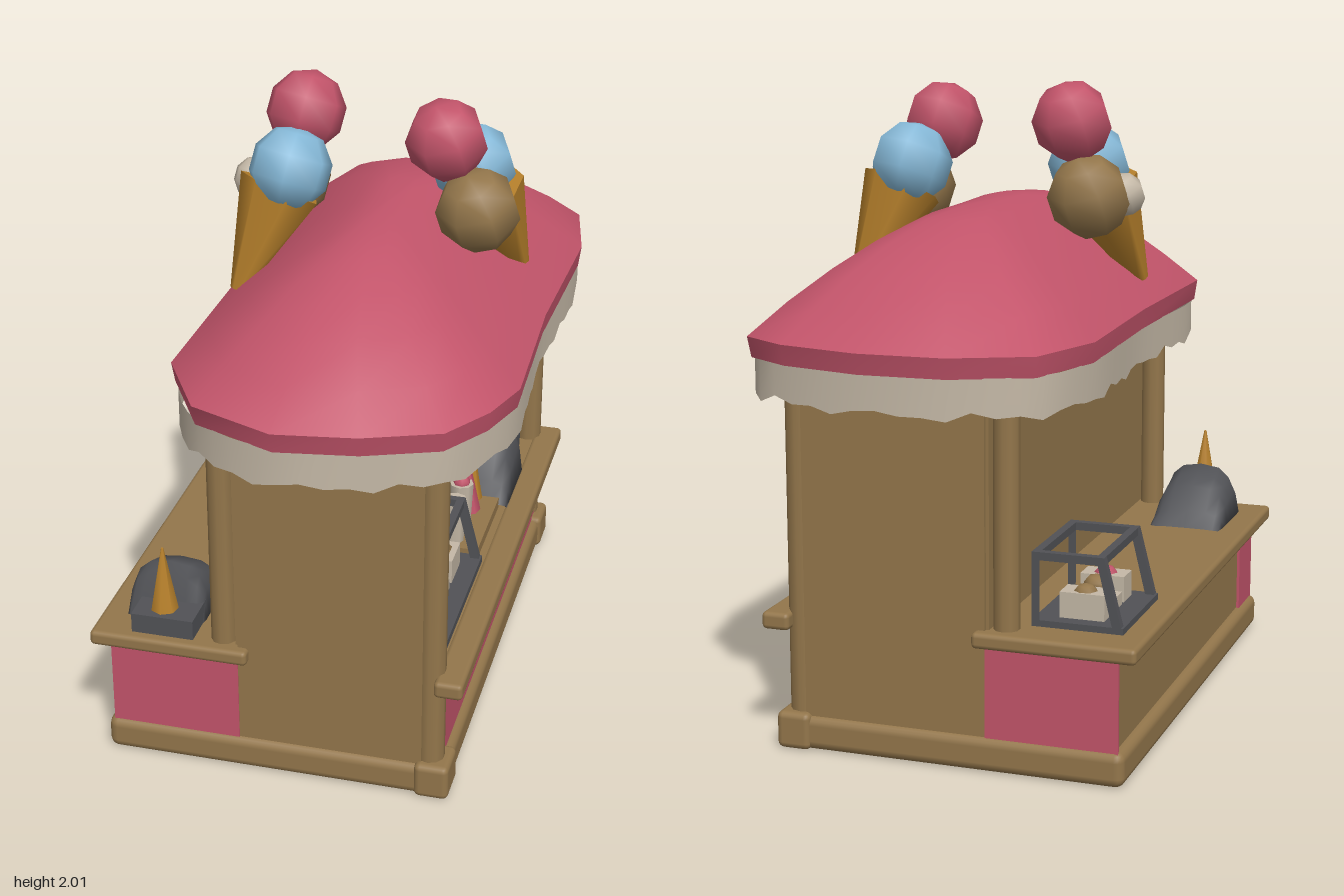
import * as THREE from 'three';
import { RoundedBoxGeometry } from 'three/addons/geometries/RoundedBoxGeometry.js';

const mat = (name, color, side = THREE.FrontSide) => {
  const m = new THREE.MeshStandardMaterial({ color, side });
  m.name = name;
  return m;
};

export function createModel() {
  const pink = mat('strawberry pink', 0xc2546a);
  const wood = mat('brown wood', 0x93764b);
  const cream = mat('cream', 0xc4b8a6, THREE.DoubleSide);
  const orange = mat('wafer orange', 0xb9822c);
  const blue = mat('ice blue', 0x86b9d8);
  const gray = mat('dark gray', 0x515256);

  const root = new THREE.Group();
  root.name = 'iceCreamKiosk';

  const add = (name, geo, material, x = 0, y = 0, z = 0, parent = root) => {
    const m = new THREE.Mesh(geo, material);
    m.name = name;
    m.position.set(x, y, z);
    parent.add(m);
    return m;
  };
  // box given by its limits
  const box = (name, material, x0, x1, y0, y1, z0, z1, parent = root) =>
    add(name, new THREE.BoxGeometry(x1 - x0, y1 - y0, z1 - z0), material,
      (x0 + x1) / 2, (y0 + y1) / 2, (z0 + z1) / 2, parent);
  // wooden beam with rounded edges
  const beam = (name, r, x0, x1, y0, y1, z0, z1) =>
    add(name, new RoundedBoxGeometry(x1 - x0, y1 - y0, z1 - z0, 2, r), wood,
      (x0 + x1) / 2, (y0 + y1) / 2, (z0 + z1) / 2);
  const group = (name, x = 0, y = 0, z = 0) => {
    const g = new THREE.Group();
    g.name = name;
    g.position.set(x, y, z);
    root.add(g);
    return g;
  };
  // skin over rings that all have the same number of points
  const skin = (rings) => {
    const n = rings[0].length, idx = [];
    for (let j = 0; j < rings.length - 1; j++)
      for (let i = 0; i < n; i++) {
        const k = (i + 1) % n, a = j * n + i, b = j * n + k;
        idx.push(a, b, b + n, a, b + n, a + n);
      }
    const g = new THREE.BufferGeometry();
    g.setAttribute('position', new THREE.Float32BufferAttribute(rings.flat(2), 3));
    g.setIndex(idx);
    g.computeVertexNormals();
    return g;
  };

  // base, counters and walls
  beam('base', 0.03, -0.6, 0.5, 0, 0.11, -0.85, 0.85);
  box('mainCounterPanel', pink, -0.15, 0.475, 0.1, 0.385, -0.8, 0.8);
  box('mainCounterTop', wood, -0.15, 0.48, 0.38, 0.43, -0.82, 0.82);
  beam('mainCounterLedge', 0.015, 0.46, 0.55, 0.38, 0.435, -0.865, 0.865);
  box('sideCounterBody', wood, -0.57, -0.15, 0.1, 0.39, -0.825, 0.825);
  beam('sideCounterTop', 0.015, -0.64, -0.13, 0.39, 0.44, -0.865, 0.865);
  box('longWall', wood, -0.175, -0.15, 0.43, 1.22, -0.82, 0.82);
  box('longWallLining', cream, -0.15, -0.143, 0.43, 1.07, -0.8, 0.8);
  box('backWallLining', cream, -0.15, 0, 0.43, 1.07, -0.802, -0.797);
  for (const s of [-1, 1]) {
    const e = s > 0 ? 'front' : 'back';
    box(e + 'Wall', wood, -0.165, 0.42, 0.1, 1.22, s * 0.817 - 0.015, s * 0.817 + 0.015);
    box(e + 'SidePanel', pink, -0.58, -0.165, 0.1, 0.39, s * 0.83 - 0.005, s * 0.83 + 0.005);
    add(e + 'MainPost', new THREE.CylinderGeometry(0.045, 0.045, 1.12, 10), wood, 0.44, 0.66, s * 0.79);
    add(e + 'SidePost', new THREE.CylinderGeometry(0.04, 0.04, 0.8, 10), wood, -0.22, 0.83, s * 0.79);
    beam(e + 'BaseCorner', 0.02, 0.4, 0.51, 0, 0.118, s * 0.79 - 0.07, s * 0.79 + 0.07);
  }
  box('sidePanelEnd', pink, -0.58, -0.571, 0.1, 0.39, 0.66, 0.83);

  // domed roof on a rounded oblong outline, narrowing faster across than along
  const outline = [[0, 0.99], [0.25, 0.95], [0.48, 0.86], [0.58, 0.7], [0.635, 0.53], [0.615, 0],
    [0.635, -0.57], [0.58, -0.85], [0.43, -0.94], [0.17, -0.995], [-0.1, -0.98], [-0.34, -0.87],
    [-0.43, -0.6], [-0.41, 0], [-0.42, 0.62], [-0.27, 0.88]];
  const cx = 0.1;
  const ring = (pts, sx, sz, y) => pts.map(([x, z]) => [cx + (x - cx) * sx, y, z * sz]);
  const dome = [[1, 1, 1.285], [0.81, 0.89, 1.38], [0.6, 0.76, 1.47], [0.42, 0.6, 1.54],
    [0.22, 0.43, 1.6], [0.09, 0.22, 1.618], [0.001, 0.001, 1.62]];
  add('roofDome', skin(dome.map(([sx, sz, y]) => ring(outline, sx, sz, y))), pink);
  add('roofRim', skin([ring(outline, 0.985, 0.985, 1.22), ring(outline, 1, 1, 1.285)]), pink);
  const flat = new THREE.ShapeGeometry(new THREE.Shape(
    ring(outline, 0.985, 0.985, 0).map(([x, , z]) => new THREE.Vector2(x, z)))).rotateX(Math.PI / 2);
  add('ceiling', flat, wood, 0, 1.218, 0);

  // ragged valance below the roof
  const loop = new THREE.CatmullRomCurve3(ring(outline, 0.97, 0.97, 0).map(p => new THREE.Vector3(...p)), true);
  const edge = loop.getSpacedPoints(72).slice(0, 72);
  add('valance', skin([
    edge.map((p, i) => [p.x, 1.105 + 0.018 * Math.sin(i * 2.1) * Math.cos(i * 0.7), p.z]),
    edge.map(p => [p.x, 1.222, p.z])]), cream);

  // two giant cones, each leaning outwards, turned half round from each other
  const up = new THREE.Vector3(0, 1, 0);
  for (const turn of [0, Math.PI]) {
    const g = group(turn ? 'rightRoofCone' : 'leftRoofCone', 0.08, 0, 0);
    g.rotation.y = turn;
    const tip = new THREE.Vector3(0.42, 1.35, -0.195), mouth = new THREE.Vector3(0.31, 1.66, -0.07);
    const dir = mouth.clone().sub(tip), mid = tip.clone().add(mouth).multiplyScalar(0.5);
    const cone = add('wafer', new THREE.CylinderGeometry(0.135, 0.025, dir.length(), 7), orange, mid.x, mid.y, mid.z, g);
    cone.quaternion.setFromUnitVectors(up, dir.normalize());
    const scoop = (name, m, r, x, y, z) => {
      const b = add(name, new THREE.SphereGeometry(r, 7, 5), m, x, y, z, g);
      b.rotation.set(0.3, 0.4, 0.2);
    };
    scoop('chocolateScoop', wood, 0.135, 0.32, 1.645, 0.06);
    scoop('blueScoop', blue, 0.135, 0.275, 1.735, -0.085);
    scoop('strawberryScoop', pink, 0.13, turn ? 0.26 : 0.215, turn ? 1.88 : 1.86, 0.05);
    if (turn) scoop('creamScoop', cream, 0.07, 0.42, 1.65, 0.01);
  }

  // menu board with pictures, facing +x
  box('menuFrame', cream, -0.143, -0.12, 0.73, 1.07, -0.65, 0.66);
  box('menuBoard', gray, -0.12, -0.113, 0.765, 1.03, -0.62, 0.62);
  const picture = (name, m, pts, lift = 0) => {
    const g = new THREE.ShapeGeometry(new THREE.Shape(pts.map(([z, y]) => new THREE.Vector2(-z, y))));
    add(name, g, m, -0.109 + lift, 0, 0).rotation.y = Math.PI / 2;
  };
  const waferPic = (z, top) => picture('menuWafer', wood, [[z - 0.05, top], [z + 0.05, top], [z + 0.012, 0.785], [z - 0.012, 0.785]]);
  const scoopPic = (z, m, r) => picture('menuScoop', m, [...Array(10)].map((_, i) =>
    [z + r * Math.cos(i * Math.PI / 5), 0.945 + 0.06 * Math.sin(i * Math.PI / 5)]), 0.002);
  waferPic(0.44, 0.92);
  scoopPic(0.44, pink, 0.055);
  waferPic(0.2, 0.92);
  scoopPic(0.2, blue, 0.07);
  waferPic(-0.04, 0.98);
  picture('menuWaferTop', wood, [[-0.09, 0.98], [-0.04, 1.01], [0.01, 0.98]]);
  picture('menuCup', blue, [[-0.33, 0.88], [-0.22, 0.88], [-0.235, 0.795], [-0.32, 0.795]]);
  picture('menuCupRim', cream, [[-0.345, 0.915], [-0.21, 0.915], [-0.22, 0.87], [-0.335, 0.87]], 0.002);
  picture('menuCupScoop', pink, [[-0.335, 0.91], [-0.3, 0.965], [-0.25, 0.965], [-0.215, 0.91]], 0.003);
  picture('menuSpoon', orange, [[-0.32, 0.92], [-0.36, 0.985], [-0.35, 0.92]], 0.001);

  // open-framed display case with tubs
  const displayCase = (name, x0, x1, z0, z1, front) => {
    const g = group(name), y0 = 0.435, y1 = 0.67, t = 0.025;
    box('caseFloor', gray, x0, x1, y0, y0 + t, z0, z1, g);
    const back = front > 0 ? x0 : x1, face = front > 0 ? x1 : x0;
    const inner = face - front * 0.06;
    for (const z of [z0, z1 - t]) {
      const side = new THREE.Shape([[back, y0], [face, y0], [inner, y1], [back, y1]].map(p => new THREE.Vector2(...p)));
      const lo = back + front * t, hi = face - front * 0.035;
      side.holes.push(new THREE.Path([[lo, y0 + t], [hi, y0 + t], [inner - front * 0.02, y1 - t], [lo, y1 - t]]
        .map(p => new THREE.Vector2(...p))));
      add('caseSide', new THREE.ExtrudeGeometry(side, { depth: t, bevelEnabled: false }), gray, 0, 0, z, g);
    }
    for (const x of [back + front * t / 2, inner - front * t / 2])
      box('caseTopRail', gray, x - t / 2, x + t / 2, y1 - t, y1, z0, z1, g);
    const w = (z1 - z0) / 3.7, xm = (x0 + x1) / 2;
    [wood, wood, pink].forEach((m, i) => {
      const z = (z0 + z1) / 2 + (i - 1) * w;
      box('tub', cream, xm - 0.07, xm + 0.07, 0.46, i === 1 ? 0.5 : 0.54, z - w * 0.4, z + w * 0.4, g);
      const s = add('tubScoop', new THREE.SphereGeometry(w * 0.38, 7, 5), m, xm, 0.53, z, g);
      s.scale.y = 0.8;
    });
  };
  displayCase('mainDisplayCase', 0.2, 0.46, 0.14, 0.71, 1);
  displayCase('sideDisplayCase', -0.565, -0.28, -0.74, -0.36, -1);

  // humped machine of arched sections, with a stand for wafer cones
  const hump = [[0, 0.01], [0.04, 0.08], [0.1, 0.18], [0.16, 0.215], [0.22, 0.25], [0.25, 0.21], [0.28, 0.01]];
  const arch = (a, h) => [...Array(9)].map((_, i) => {
    const t = i * Math.PI / 8, c = Math.cos(t);
    return [0.125 * Math.sign(c) * Math.abs(c) ** 0.7, h * Math.sin(t) ** 0.7, a];
  });
  const machine = (name, x, z, turn, high, cones) => {
    const g = group(name, x, 0.435, z);
    g.rotation.y = turn;
    add('machineHump', skin(hump.map(([a, h]) => arch(a, h * high))), gray, 0, 0, 0, g);
    box('coneStand', gray, -0.08, 0.12, 0, 0.07, 0.2, 0.27 + cones.length * 0.1, g);
    for (const [dz, h] of cones)
      add('stackedWafer', new THREE.CylinderGeometry(0.004, 0.045, h, 7), orange, 0.01, 0.065 + h / 2, dz, g);
  };
  machine('mainMachine', 0.345, -0.23, Math.PI, 1, [[0.31, 0.2], [0.41, 0.23]]);
  machine('sideMachine', -0.43, 0.46, 0, 0.74, [[0.31, 0.22]]);

  // cups and small cones on the main counter
  for (const z of [0.07, -0.04]) {
    add('paperCup', new THREE.CylinderGeometry(0.04, 0.032, 0.16, 8), cream, 0.35, 0.54, z);
    if (z < 0) add('cupScoop', new THREE.SphereGeometry(0.03, 7, 5), pink, 0.35, 0.62, z);
  }
  box('sampleTray', wood, 0.26, 0.44, 0.43, 0.465, -0.24, 0.12);
  for (const [name, m, z, r] of [['pinkSampleCone', pink, -0.14, 0.045], ['waferSampleCone', orange, -0.22, 0.035]])
    add(name, new THREE.CylinderGeometry(0.004, r, 0.19, 7), m, 0.35, 0.56, z);

  return root;
}
